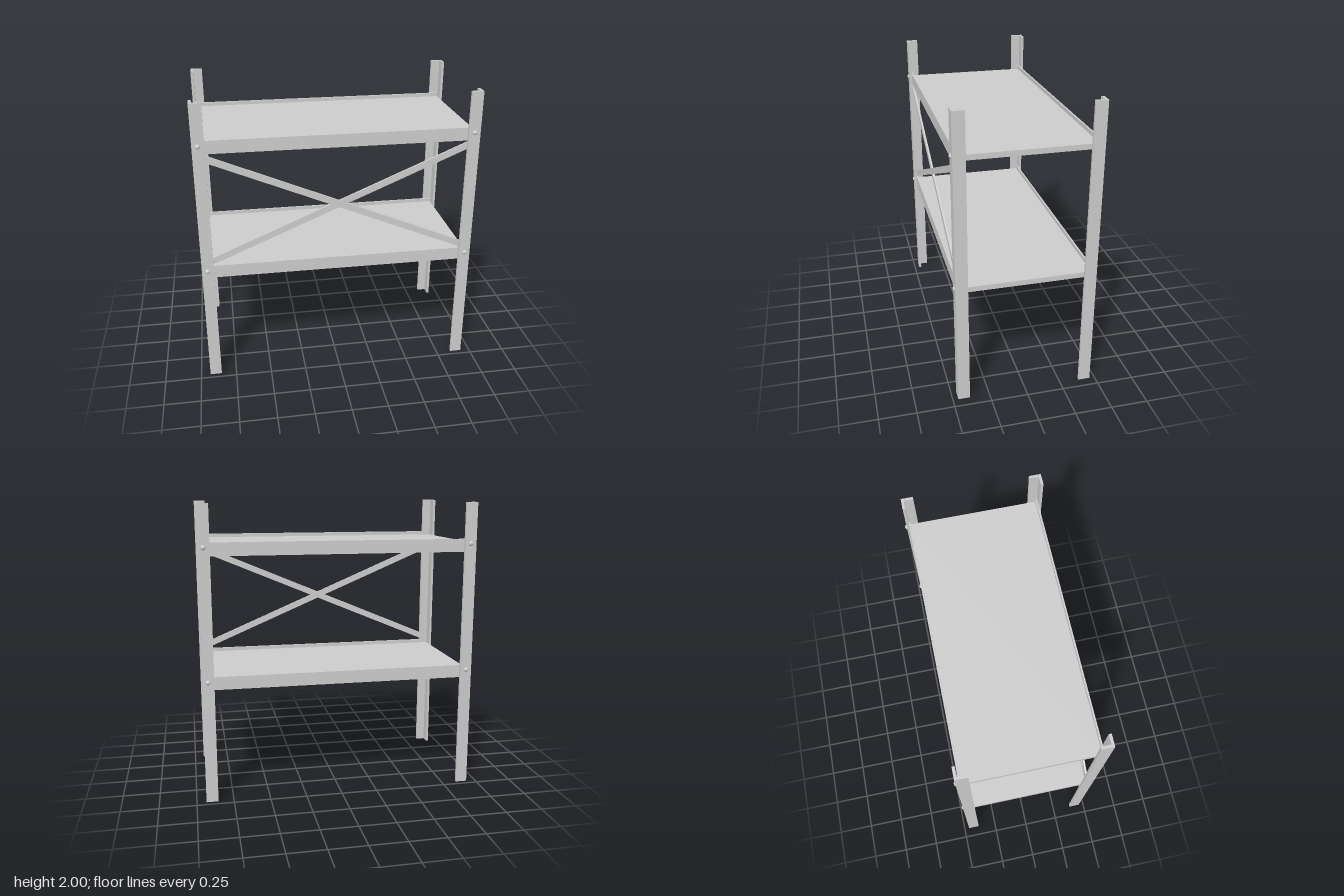
import * as THREE from 'three';

export function createModel() {
  const model = new THREE.Group();
  model.name = 'shelvingRack';
  const grey = new THREE.MeshStandardMaterial({ color: 0xcccccc });

  function add(name, geometry, parent = model) {
    const mesh = new THREE.Mesh(geometry, grey);
    mesh.name = name;
    parent.add(mesh);
    return mesh;
  }
  function addBox(name, w, h, d, x, y, z, parent) {
    add(name, new THREE.BoxGeometry(w, h, d), parent).position.set(x, y, z);
  }
  function polygon(points) {
    return new THREE.Shape(points.map(([x, y]) => new THREE.Vector2(x, y)));
  }

  const X = 0.935, Z = 0.464; // outer faces of the posts
  const ARM = 0.08, T = 0.018; // angle iron arm and thickness
  const shelfHeights = [0.827, 1.71];

  // Angle iron posts, one per corner, with the corner of the L outwards
  for (const sx of [-1, 1]) {
    for (const sz of [-1, 1]) {
      const outline = polygon([
        [X, Z], [X - ARM, Z], [X - ARM, Z - T], [X - T, Z - T], [X - T, Z - ARM], [X, Z - ARM],
      ].map(([x, z]) => [sx * x, -sz * z]));
      const geometry = new THREE.ExtrudeGeometry(outline, { depth: 2, bevelEnabled: false });
      geometry.rotateX(-Math.PI / 2);
      add(`${sz > 0 ? 'front' : 'back'}${sx > 0 ? 'Left' : 'Right'}Post`, geometry);
    }
  }

  // Shelves: a flat deck between a front and a back rail, bolted to the posts
  shelfHeights.forEach((y, i) => {
    const shelf = new THREE.Group();
    shelf.name = i ? 'upperShelf' : 'lowerShelf';
    model.add(shelf);
    addBox('deck', 1.82, 0.036, 0.87, 0, y, 0, shelf);
    for (const sz of [-1, 1]) {
      addBox(sz > 0 ? 'frontRail' : 'backRail', 1.82, 0.088, 0.012, 0, y, sz * 0.44, shelf);
      for (const sx of [-1, 1]) {
        const dome = new THREE.SphereGeometry(0.017, 20, 8, 0, Math.PI * 2, 0, Math.PI / 2);
        dome.scale(1, 0.8, 1);
        dome.rotateX(sz * Math.PI / 2);
        add('boltHead', dome, shelf).position.set(sx * 0.897, y + 0.013, sz * (Z - 0.001));
      }
    }
  });

  // Flat cross brace behind the front posts
  const L = 0.9, m = 0.423, h = 0.024; // half length, slope, half height
  const cross = polygon([
    [0, h], [L, m * L + h], [L, m * L - h], [h / m, 0], [L, h - m * L], [L, -h - m * L],
    [0, -h], [-L, -h - m * L], [-L, h - m * L], [-h / m, 0], [-L, m * L - h], [-L, m * L + h],
  ]);
  const brace = new THREE.ExtrudeGeometry(cross, { depth: 0.014, bevelEnabled: false });
  add('crossBrace', brace).position.set(0, 1.268, 0.432);

  return model;
}
